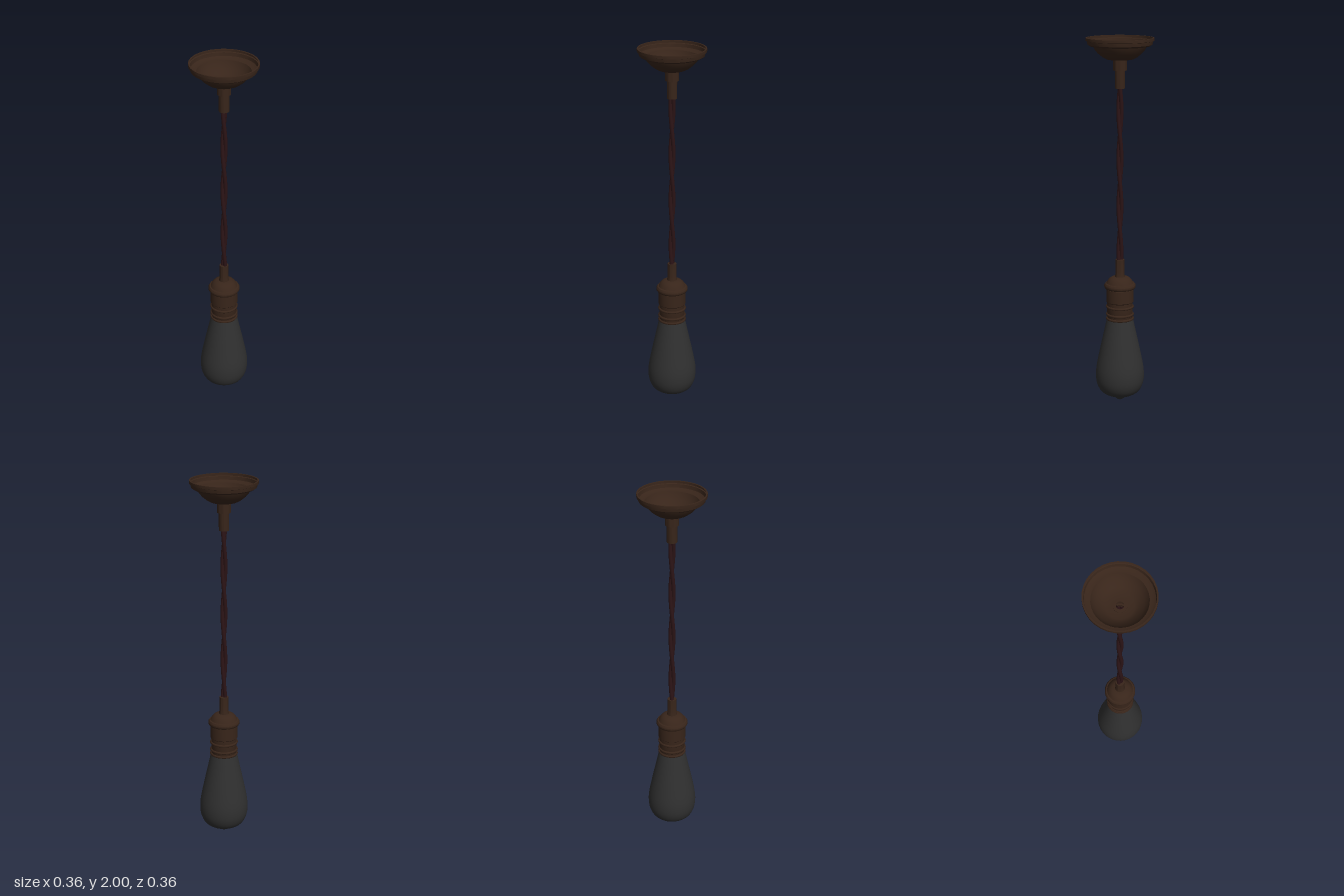
import * as THREE from 'three';
import { toCreasedNormals } from 'three/addons/utils/BufferGeometryUtils.js';

const bronze = new THREE.MeshStandardMaterial({ color: 0x38251a, side: THREE.DoubleSide });
const glass = new THREE.MeshStandardMaterial({ color: 0x303030, side: THREE.DoubleSide });
const fabric = new THREE.MeshStandardMaterial({ color: 0x2c1416 });

export function createModel() {
  const group = new THREE.Group();

  const add = (name, geometry, material) => {
    const mesh = new THREE.Mesh(geometry, material);
    mesh.name = name;
    group.add(mesh);
    return mesh;
  };

  // Turned part from [radius, y] pairs, listed from bottom to top
  const turned = (name, profile, material, crease = 0.6) => {
    const points = profile.map(([r, y]) => new THREE.Vector2(r, y));
    return add(name, toCreasedNormals(new THREE.LatheGeometry(points, 32), crease), material);
  };

  // Ceiling canopy: a thin bowl, open at the top, with a stepped rim
  turned('canopy', [
    [0.03, 1.888], [0.07, 1.888], [0.09, 1.898], [0.115, 1.918], [0.132, 1.938], [0.14, 1.955],
    [0.158, 1.957], [0.17, 1.965], [0.174, 1.983], [0.18, 1.985], [0.18, 2], [0.172, 2],
  ], bronze);

  // Collar and cord grip under the canopy
  turned('canopyCollar', [[0.027, 1.83], [0.036, 1.83], [0.036, 1.892], [0.02, 1.892]], bronze);
  turned('upperCordGrip', [[0, 1.735], [0.027, 1.735], [0.027, 1.83], [0.02, 1.84]], bronze);

  // Cord of two strands twisted around each other
  const cordBottom = 0.78, cordTop = 1.9, halfTurn = 0.258;
  for (const side of [0, 1]) {
    const points = [];
    for (let i = 0; i <= 48; i++) {
      const y = cordBottom + (cordTop - cordBottom) * i / 48;
      const a = Math.PI * ((y - 1.51) / halfTurn + side);
      points.push(new THREE.Vector3(0.008 * Math.cos(a), y, 0.008 * Math.sin(a)));
    }
    const path = new THREE.CatmullRomCurve3(points);
    add('cordStrand' + (side + 1), new THREE.TubeGeometry(path, 96, 0.0108, 10), fabric);
  }

  // Lamp holder: cord grip, domed cap, bead and sleeve
  turned('lowerCordGrip', [[0.028, 0.705], [0.024, 0.73], [0.024, 0.805], [0, 0.805]], bronze);
  turned('socketCap', [
    [0.07, 0.64], [0.08, 0.643], [0.086, 0.652], [0.086, 0.662], [0.08, 0.671], [0.073, 0.673],
    [0.066, 0.688], [0.055, 0.7], [0.042, 0.707], [0.02, 0.71], [0, 0.71],
  ], bronze);
  turned('socketSleeve', [
    [0.06, 0.463], [0.068, 0.463], [0.07, 0.47], [0.07, 0.565], [0.075, 0.57], [0.075, 0.64], [0.06, 0.645],
  ], bronze);

  // Ribs around the lower sleeve
  for (const y of [0.54, 0.497, 0.473]) {
    const rib = add('socketRib', new THREE.TorusGeometry(0.07, 0.007, 8, 32), bronze);
    rib.rotation.x = Math.PI / 2;
    rib.position.y = y;
  }

  // Teardrop bulb, with the small seal at its tip
  const bulbCurve = new THREE.SplineCurve([
    [0.03, 0.026], [0.07, 0.035], [0.106, 0.058], [0.126, 0.095], [0.133, 0.14],
    [0.129, 0.2], [0.109, 0.3], [0.087, 0.4], [0.072, 0.47],
  ].map(([r, y]) => new THREE.Vector2(r, y)));
  add('bulb', new THREE.LatheGeometry(bulbCurve.getPoints(32), 32), glass);
  turned('bulbTip', [[0, 0], [0.014, 0.003], [0.025, 0.011], [0.032, 0.02], [0.042, 0.029]], glass, 1);

  return group;
}
